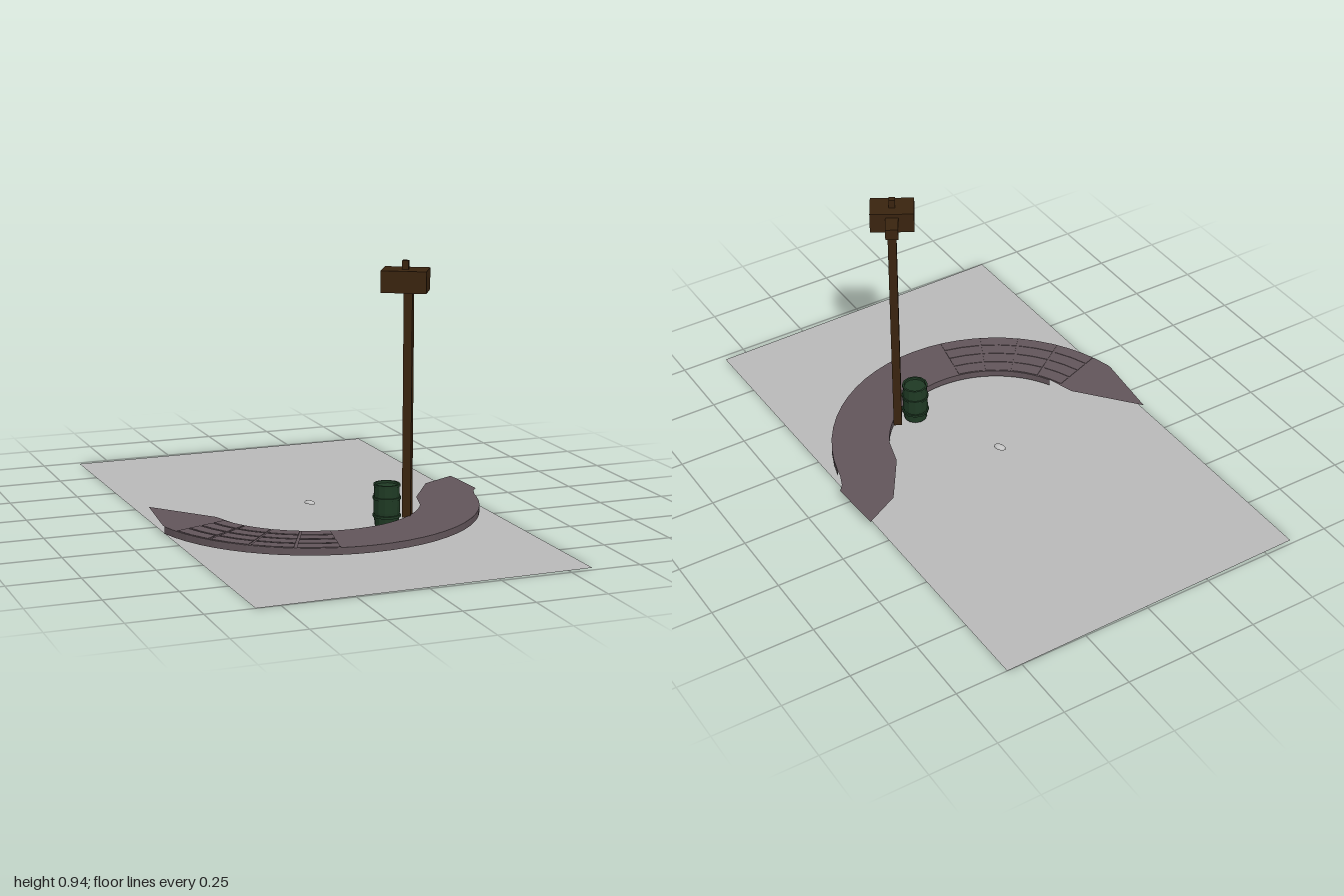
import * as THREE from 'three';

const mat = (name, color, side = THREE.FrontSide) => {
  const m = new THREE.MeshStandardMaterial({ color, side });
  m.name = name;
  return m;
};

// Quad strip between two rows of [x, y, z] points, flat shaded
function strip(rowA, rowB) {
  const pos = [];
  for (let i = 0; i < rowA.length - 1; i++) {
    const [a, b, c, d] = [rowA[i], rowB[i], rowB[i + 1], rowA[i + 1]];
    pos.push(...a, ...b, ...c, ...a, ...c, ...d);
  }
  const g = new THREE.BufferGeometry();
  g.setAttribute('position', new THREE.Float32BufferAttribute(pos, 3));
  g.computeVertexNormals();
  return g;
}

export function createModel() {
  const model = new THREE.Group();
  const ground = mat('groundGrey', 0xbababa, THREE.DoubleSide);
  const stone = mat('pathStone', 0x63565b, THREE.DoubleSide);
  const wood = mat('darkWood', 0x3a240f);
  const green = mat('barrelGreen', 0x1f3a24);
  const pebbleGrey = mat('pebbleGrey', 0xc4c4c4, THREE.DoubleSide);
  const add = (parent, name, geo, material, x = 0, y = 0, z = 0) => {
    const m = new THREE.Mesh(geo, material);
    m.name = name;
    m.position.set(x, y, z);
    parent.add(m);
    return m;
  };

  // Ground sheet, slightly skewed
  const sheet = strip(
    [[-0.613, 0, -0.985], [0.557, 0, -1]],
    [[-0.583, 0, 1], [0.587, 0, 0.977]]);
  add(model, 'groundSheet', sheet, ground);

  // Curved path: a half ring with ragged ends
  const cx = -0.025, cz = -0.003, rIn = 0.39, rOut = 0.6, top = 0.037, low = 0.012;
  const polar = (r, deg) => {
    const t = THREE.MathUtils.degToRad(deg);
    return [cx + r * Math.cos(t), cz + r * Math.sin(t)];
  };
  const N = 26, inner = [], outer = [];
  for (let i = 0; i <= N; i++) {
    inner.push(polar(rIn, 27 + 126 * i / N));
    outer.push(polar(rOut, 13 + 154 * i / N));
  }
  const at = (row, y) => row.map(([x, z]) => [x, y, z]);
  const fullIn = [[0.595, -0.17], [0.463, -0.1], [0.352, 0.07], ...inner, [-0.405, 0.074], [-0.585, -0.138]];
  const fullOut = [[0.606, 0.03], [0.585, 0.055], [0.567, 0.1], ...outer, [-0.609, 0.125], [-0.611, 0.12]];
  const path = new THREE.Group();
  path.name = 'curvedPath';
  model.add(path);
  add(path, 'pathTop', strip(at(fullOut, top), at(fullIn, top)), stone);
  add(path, 'outerSkirt', strip(at(outer, low), at(outer, top)), stone);
  add(path, 'innerSkirt', strip(at(inner, top), at(inner, low)), stone);

  // Raised paving slabs on one stretch of the path
  const lane = (rOut - rIn) / 4, gap = 0.004;
  for (let s = 0; s < 4; s++) {
    for (let k = 0; k < 4; k++) {
      const r0 = rIn + lane * k + gap, r1 = rIn + lane * (k + 1) - gap;
      const a0 = 101 + s * 15, shape = new THREE.Shape();
      const pts = [[r0, 0], [r1, 0], [r1, 7], [r1, 14], [r0, 14], [r0, 7]]
        .map(([r, a]) => polar(r, a0 + a))
        .map(([x, z]) => new THREE.Vector2(x, -z));
      shape.setFromPoints(pts);
      const g = new THREE.ExtrudeGeometry(shape, { depth: 0.002, bevelEnabled: false });
      g.rotateX(-Math.PI / 2);
      add(path, 'pavingSlab', g, stone, 0, top, 0);
    }
  }

  // Lamp post: local x runs across the lamp, local -z points back to the post
  const lamp = new THREE.Group();
  lamp.name = 'lampPost';
  lamp.position.set(0.184, 0, 0.351);
  lamp.rotation.y = -THREE.MathUtils.degToRad(30.5);
  model.add(lamp);
  const box = (name, w, h, d, x, y, z) => add(lamp, name, new THREE.BoxGeometry(w, h, d), wood, x, y, z);
  box('post', 0.03, 0.87, 0.05, 0, 0.465, -0.093);
  box('arm', 0.045, 0.04, 0.085, 0, 0.88, -0.085);
  // Lamp housing, open underneath
  box('lampRoof', 0.155, 0.02, 0.104, 0, 0.905, 0);
  for (const s of [-1, 1]) {
    box('lampSide', 0.012, 0.055, 0.104, s * 0.0715, 0.8675, 0);
    box('lampFace', 0.131, 0.055, 0.012, 0, 0.8675, s * 0.046);
  }
  box('lampKnob', 0.022, 0.03, 0.022, 0, 0.93, 0);

  // Barrel with hoops
  const barrel = new THREE.Group();
  barrel.name = 'barrel';
  barrel.position.set(0.148, 0, 0.285);
  model.add(barrel);
  const faceted = (profile) => {
    const g = new THREE.LatheGeometry(profile.map(([r, y]) => new THREE.Vector2(r, y)), 12).toNonIndexed();
    g.computeVertexNormals();
    return g;
  };
  add(barrel, 'barrelBody', faceted([[0, 0.01], [0.042, 0.01], [0.046, 0.06], [0.046, 0.11],
    [0.044, 0.148], [0.047, 0.149], [0.047, 0.158], [0.04, 0.158], [0.039, 0.15], [0, 0.15]]), green);
  for (const y of [0.045, 0.108]) {
    add(barrel, 'barrelHoop', faceted([[0.044, -0.005], [0.05, -0.004], [0.05, 0.004], [0.044, 0.005]]), green, 0, y, 0);
  }

  // Small pebble cap
  const cap = new THREE.SphereGeometry(1, 8, 3, 0, Math.PI * 2, 0, Math.PI / 2);
  cap.scale(0.016, 0.01, 0.025);
  add(model, 'pebble', cap, pebbleGrey, -0.013, 0.02, -0.046).rotation.y = 0.35;

  return model;
}
